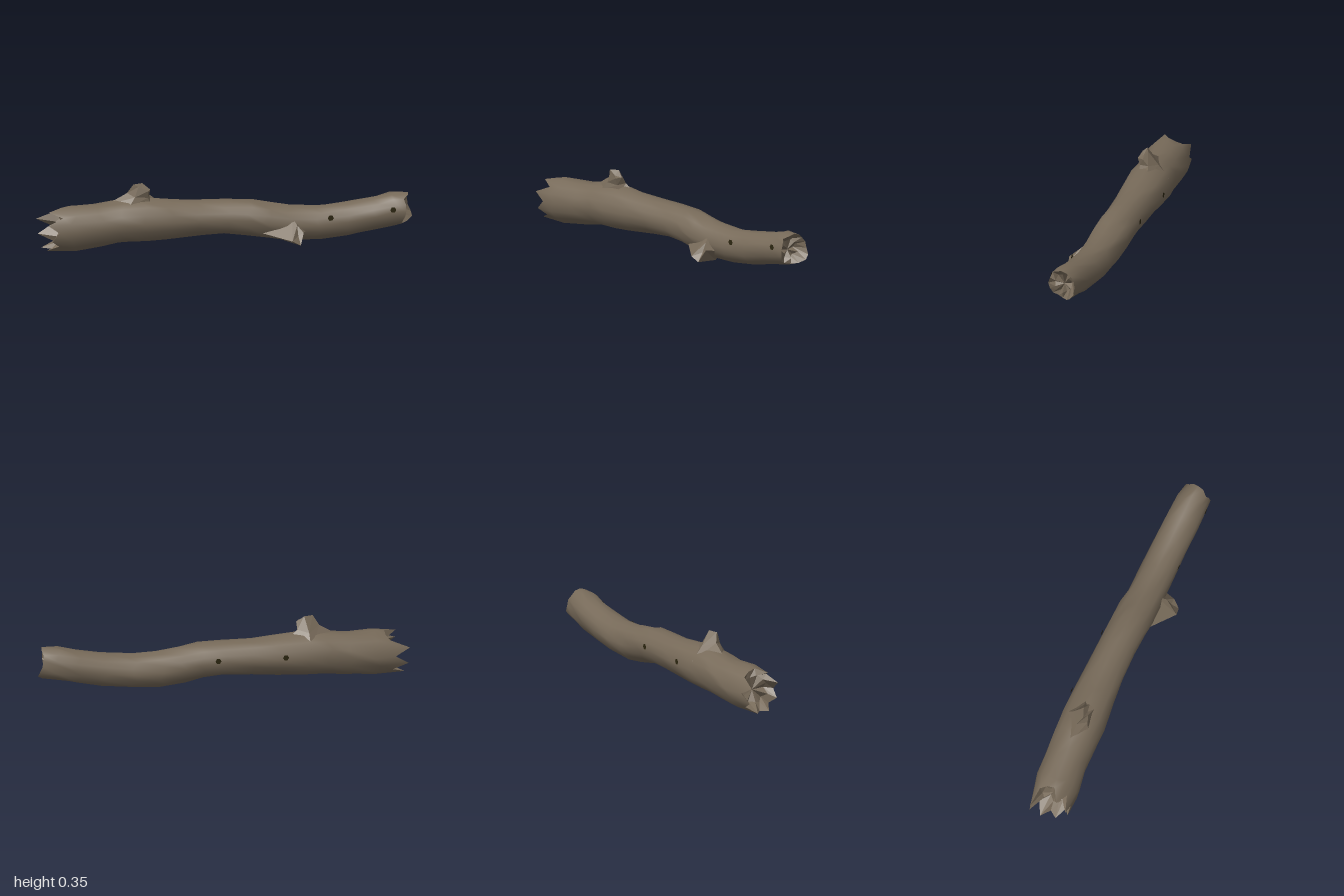
import * as THREE from 'three';

const SIDES = 16;

// Skin a list of equal-length point rings; optional tip closes the last ring.
function loft(rings, tip, flat) {
  const n = rings[0].length, pos = rings.flat(2), idx = [];
  for (let i = 0; i < rings.length - 1; i++) {
    for (let j = 0; j < n; j++) {
      const a = i * n + j, b = i * n + (j + 1) % n;
      idx.push(a, a + n, b, b, a + n, b + n);
    }
  }
  if (tip) {
    const last = (rings.length - 1) * n, t = rings.length * n;
    pos.push(...tip);
    for (let j = 0; j < n; j++) idx.push(last + j, t, last + (j + 1) % n);
  }
  let g = new THREE.BufferGeometry();
  g.setAttribute('position', new THREE.Float32BufferAttribute(pos, 3));
  g.setIndex(idx);
  if (flat) g = g.toNonIndexed();
  g.computeVertexNormals();
  return g;
}

// One log section: angle 0 faces the front, a quarter turn faces up.
function section(x, bottom, top, back, front, rough = 0.035, rimX = null) {
  const ring = [];
  for (let j = 0; j < SIDES; j++) {
    const a = j / SIDES * Math.PI * 2;
    const k = 1 + rough * (Math.sin(j * 2.7 + x * 9) * 0.6 + Math.sin(j * 5.1 - x * 14) * 0.4) - rough * 0.3;
    ring.push([
      rimX ? rimX[j] : x + 0.02 * Math.sin(j * 2.3 + x * 20),
      (bottom + top) / 2 + Math.sin(a) * k * (top - bottom) / 2,
      (back + front) / 2 + Math.cos(a) * k * (front - back) / 2,
    ]);
  }
  return ring;
}

export function createModel() {
  const log = new THREE.Group();
  log.name = 'log';
  const bark = new THREE.MeshStandardMaterial({ color: 0x75675a, side: THREE.DoubleSide });
  bark.name = 'bark brown';
  bark.color.set(0x776a59);
  const dark = new THREE.MeshStandardMaterial({ color: 0x2c2610, side: THREE.DoubleSide });
  dark.name = 'dark moss';

  const add = (name, geometry, material = bark) => {
    const m = new THREE.Mesh(geometry, material);
    m.name = name;
    log.add(m);
    return m;
  };

  // Splintered rims of the two ends
  const leftX = [-0.90, -0.96, -0.88, -0.95, -0.88, -0.88, -0.90, -1.0,
    -0.92, -0.99, -0.91, -0.98, -0.93, -0.96, -0.90, -0.94];
  const rightX = [0.94, 0.94, 0.93, 0.955, 0.96, 0.965, 0.96, 0.965,
    0.97, 0.985, 0.99, 0.96, 0.93, 0.91, 0.92, 0.935];
  const leftRim = section(-0.93, 0.01, 0.235, -0.12, 0.09, 0.06, leftX);
  const rightRim = section(0.95, 0.095, 0.265, -0.066, 0.09, 0.05, rightX);

  // Trunk: x, bottom, top, back, front
  const trunk = [
    [-0.82, 0.004, 0.247, -0.146, 0.1],
    [-0.68, 0.02, 0.247, -0.15, 0.08],
    [-0.56, 0.035, 0.265, -0.157, 0.08],
    [-0.44, 0.037, 0.272, -0.162, 0.085],
    [-0.3, 0.047, 0.26, -0.155, 0.073],
    [-0.15, 0.06, 0.25, -0.147, 0.062],
    [0, 0.065, 0.248, -0.14, 0.062],
    [0.12, 0.053, 0.245, -0.134, 0.07],
    [0.22, 0.035, 0.23, -0.13, 0.075],
    [0.33, 0.02, 0.212, -0.12, 0.075],
    [0.48, 0.024, 0.203, -0.112, 0.078],
    [0.63, 0.038, 0.218, -0.104, 0.082],
    [0.78, 0.066, 0.242, -0.095, 0.087],
    [0.88, 0.085, 0.266, -0.085, 0.09],
  ].map(s => section(...s));
  add('trunk', loft([leftRim, ...trunk, rightRim]));

  // Hollow broken ends
  const innerLeft = section(-0.88, 0.05, 0.2, -0.09, 0.055, 0.1);
  const innerRight = section(0.915, 0.125, 0.23, -0.035, 0.06, 0.1);
  add('rightBreak', loft([rightRim, innerRight], [0.9, 0.17, 0.01], true));
  add('leftBreak', loft([leftRim.slice().reverse(), innerLeft.slice().reverse()], [-0.86, 0.12, -0.02], true));

  // Snapped branch on top
  add('topBranchStub', loft([
    [[-0.34, 0.235, -0.06], [-0.4, 0.24, 0.0], [-0.52, 0.24, 0.02], [-0.64, 0.235, -0.05], [-0.46, 0.2, -0.15]],
    [[-0.405, 0.285, -0.05], [-0.42, 0.28, 0.0], [-0.49, 0.285, 0.005], [-0.525, 0.3, -0.04], [-0.46, 0.275, -0.09]],
    [[-0.405, 0.32, -0.02], [-0.42, 0.318, 0.012], [-0.47, 0.34, 0.0], [-0.495, 0.35, -0.018], [-0.445, 0.352, -0.036]],
  ], [-0.45, 0.325, -0.012], true));

  // Snapped branch on the front
  add('frontBranchStub', loft([
    [[0.42, 0.08, 0.03], [0.36, 0.018, 0.02], [0.17, 0.08, 0.04], [0.34, 0.16, 0.045]],
    [[0.39, 0.09, 0.12], [0.37, 0.03, 0.155], [0.325, 0.055, 0.161], [0.36, 0.125, 0.09]],
  ], [0.362, 0.075, 0.115], true));

  // Small dark patches on the bark
  const patch = (x, y, z, back) => {
    const m = add('mossPatch', new THREE.CircleGeometry(0.016, 6), dark);
    m.position.set(x, y, z);
    if (back) m.rotation.y = Math.PI;
  };
  patch(0.54, 0.155, 0.081);
  patch(0.87, 0.19, 0.093);
  patch(0.04, 0.17, -0.142, true);
  patch(-0.32, 0.17, -0.16, true);

  return log;
}
